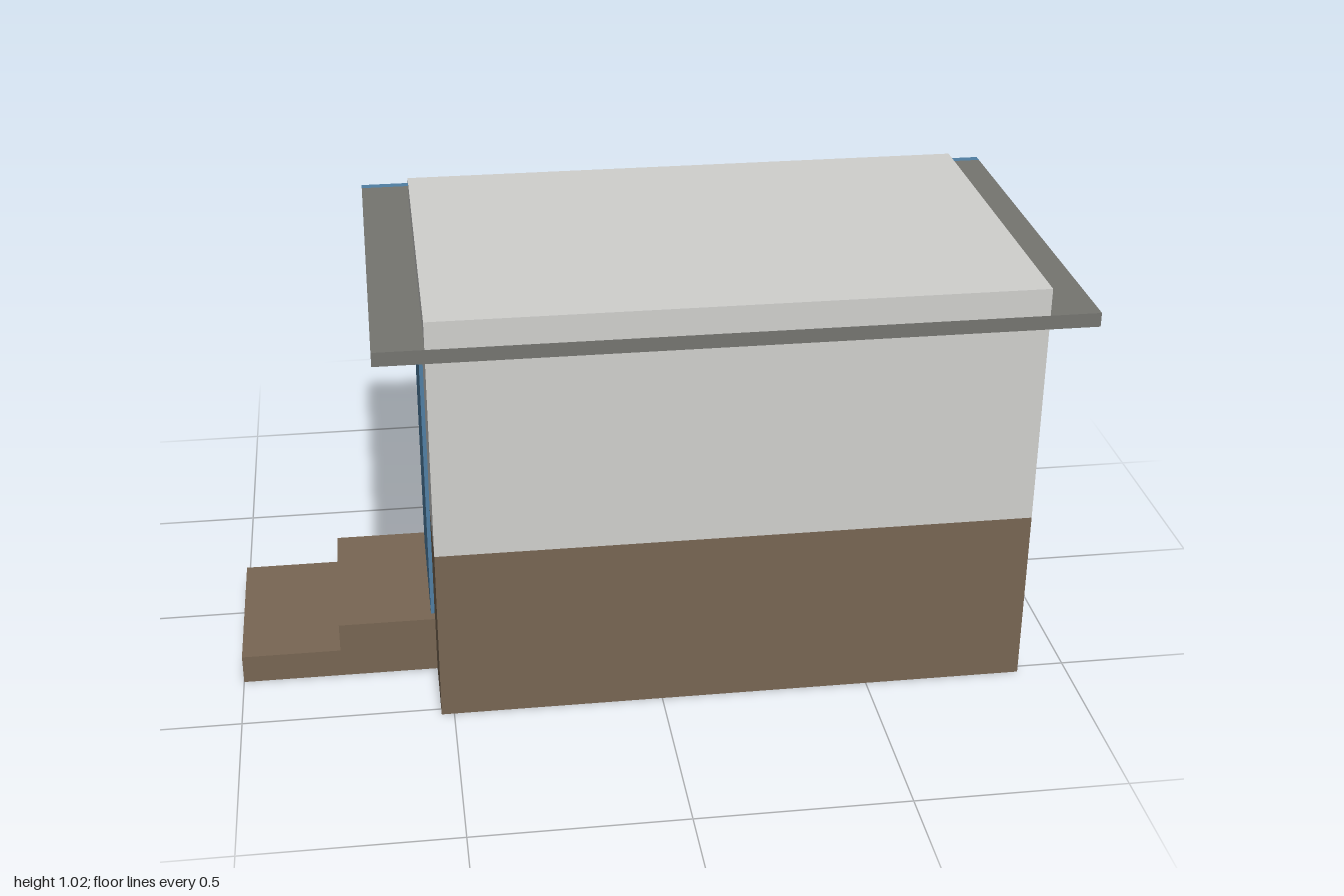
import * as THREE from 'three';

const material = (name, color) => new THREE.MeshStandardMaterial({ name, color });

export function createModel() {
  const wall = material('lightGreyWall', 0xd0d0cd);
  const brown = material('brownPlinth', 0x786653);
  const roof = material('darkGreyRoof', 0x757570);
  const blue = material('blueTrim', 0x507fa3);

  const model = new THREE.Group();
  model.name = 'smallBuilding';

  // Box given by its lower and upper corners
  const box = (name, mat, x0, x1, y0, y1, z0, z1, parent = model) => {
    const mesh = new THREE.Mesh(new THREE.BoxGeometry(x1 - x0, y1 - y0, z1 - z0), mat);
    mesh.position.set((x0 + x1) / 2, (y0 + y1) / 2, (z0 + z1) / 2);
    mesh.name = name;
    parent.add(mesh);
    return mesh;
  };

  const left = -0.53, right = 0.88, back = -0.38, front = 0.523;
  const plinthTop = 0.433, eaves = 0.921, roofTop = 0.955;

  // Body: brown plinth with a light floor underneath, light walls, raised roof block
  box('plinth', [brown, brown, brown, wall, brown, brown], left, right, 0, plinthTop, back, front);
  box('walls', wall, left, right, plinthTop, eaves, back, front);
  box('roofBlock', wall, left, right, roofTop, 1.021, back, front);

  // Overhanging roof slab, with the trim board along its back edge
  box('roofSlab', roof, -0.647, 1, eaves, roofTop, -0.5, front);
  box('fasciaUpper', [roof, roof, blue, blue, blue, blue], -0.647, 1, eaves, roofTop, -0.523, -0.5);
  box('fasciaLower', blue, -0.647, 1, 0.865, eaves, -0.523, -0.5);

  // Six columns of thin cladding panels in two rows on the back wall
  const panels = new THREE.Group();
  panels.name = 'backPanels';
  model.add(panels);
  const columns = 6, gap = 0.012, pitch = (right - left) / columns;
  for (let i = 0; i < columns; i++) {
    const x0 = left + i * pitch + (i > 0 ? gap / 2 : 0);
    const x1 = left + (i + 1) * pitch - (i < columns - 1 ? gap / 2 : 0);
    box('lowerPanel', wall, x0, x1, plinthTop, 0.73, back - 0.004, back, panels);
    box('upperPanel', wall, x0, x1, 0.742, eaves, back - 0.004, back, panels);
  }

  // Side door and its two steps
  box('door', blue, left - 0.009, left, 0.142, eaves, -0.06, 0.295);
  box('upperStep', brown, -0.763, left, 0, 0.142, -0.107, 0.322);
  box('lowerStep', brown, -1, -0.763, 0, 0.071, -0.107, 0.322);

  return model;
}
